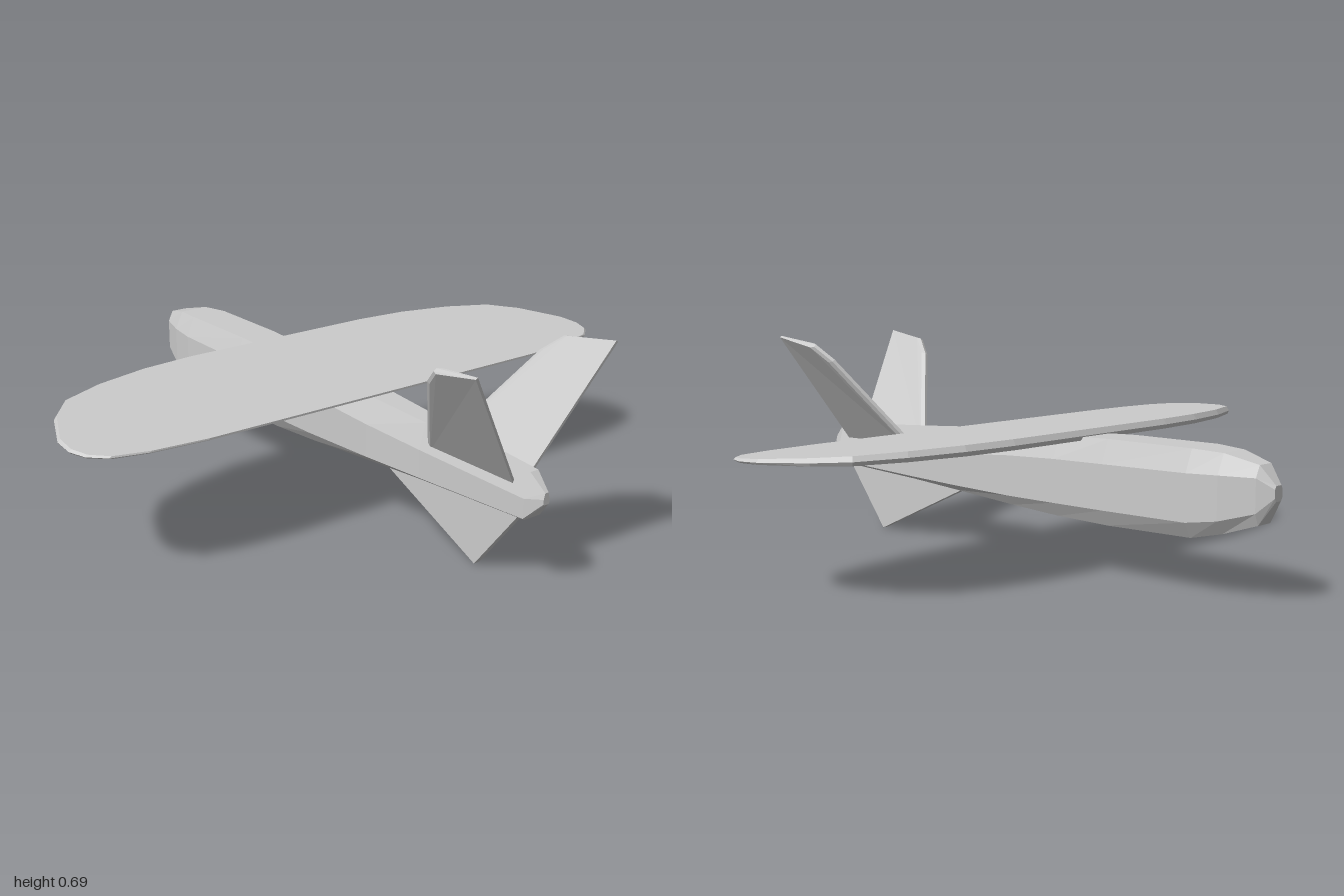
import * as THREE from 'three';

const CX = -0.007; // centre line of the body
const material = new THREE.MeshStandardMaterial({ color: 0xcccccc, flatShading: true });

// Skins a list of rings (equal numbers of points) and closes both ends.
function loft(name, rings) {
  const tris = [];
  const n = rings[0].length;
  for (let r = 0; r < rings.length - 1; r++) {
    for (let i = 0; i < n; i++) {
      const j = (i + 1) % n;
      const [a, b, c, d] = [rings[r][i], rings[r][j], rings[r + 1][j], rings[r + 1][i]];
      tris.push([a, b, c], [a, c, d]);
    }
  }
  const first = rings[0], last = rings[rings.length - 1];
  for (let i = 1; i < n - 1; i++) {
    tris.push([first[0], first[i + 1], first[i]], [last[0], last[i], last[i + 1]]);
  }
  // Turn all faces outward, whatever the direction of the rings.
  const volume = tris.reduce((s, [a, b, c]) => s + a.dot(b.clone().cross(c)), 0);
  const points = tris.flatMap(t => (volume < 0 ? [t[0], t[2], t[1]] : t));
  const geometry = new THREE.BufferGeometry().setFromPoints(points);
  geometry.computeVertexNormals();
  const mesh = new THREE.Mesh(geometry, material);
  mesh.name = name;
  return mesh;
}

// Body: elongated octagon that narrows to the tail.
// z, top y, top half width, shoulder y, half width, lower side y, bottom y, bottom half width
const bodySections = [
  [-0.96, 0.345, 0.012, 0.335, 0.018, 0.31, 0.30, 0.012],
  [-0.915, 0.40, 0.028, 0.365, 0.045, 0.265, 0.23, 0.03],
  [-0.81, 0.425, 0.05, 0.365, 0.078, 0.235, 0.195, 0.05],
  [-0.71, 0.43, 0.064, 0.362, 0.092, 0.22, 0.172, 0.063],
  [-0.4, 0.428, 0.064, 0.355, 0.092, 0.215, 0.166, 0.066],
  [-0.2, 0.42, 0.06, 0.35, 0.09, 0.213, 0.169, 0.064],
  [0.0, 0.41, 0.052, 0.34, 0.082, 0.21, 0.178, 0.06],
  [0.27, 0.397, 0.04, 0.318, 0.07, 0.212, 0.193, 0.05],
  [0.5, 0.382, 0.031, 0.303, 0.056, 0.215, 0.205, 0.042],
  [0.91, 0.358, 0.015, 0.285, 0.037, 0.225, 0.22, 0.03],
  [0.96, 0.31, 0.006, 0.292, 0.011, 0.278, 0.275, 0.008],
];
function bodyRing([z, topY, topW, shoulderY, w, lowY, botY, botW]) {
  const half = [[topW, topY], [w, shoulderY], [w, lowY], [botW, botY]];
  const mirrored = half.map(([x, y]) => [-x, y]).reverse();
  return [...half, ...mirrored].map(([x, y]) => new THREE.Vector3(CX + x, y, z));
}

// Wing: half outline as x, z from the leading edge round the tip to the trailing edge.
const wingHalf = [
  [0.35, -0.3], [0.53, -0.285], [0.71, -0.245], [0.855, -0.185], [0.93, -0.095],
  [0.995, 0.055], [1, 0.13], [0.98, 0.185], [0.93, 0.228], [0.82, 0.255], [0.64, 0.27],
];
function buildWing() {
  const outline = [...wingHalf, ...wingHalf.map(([x, z]) => [-x, z]).reverse()];
  const ring = (scale, baseY, rise) => outline.map(([x, z]) => {
    const f = (0.27 - z) / 0.57; // 0 at the trailing edge, 1 at the leading edge
    const zz = z < 0.1 ? 0.1 + (z - 0.1) * scale : z;
    return new THREE.Vector3(x * (1 + (scale - 1) * 0.3), baseY + rise * f, zz);
  });
  return loft('wing', [ring(0.985, 0.399, 0.014), ring(1, 0.401, 0.026), ring(0.975, 0.405, 0.04)]);
}

// V-tail: outline as height, z; each surface leans outward from the body.
const tailOutline = [[0.31, 0.51], [0.335, 0.525], [0.61, 0.71], [0.66, 0.77], [0.685, 0.945], [0.335, 0.865], [0.31, 0.86]];
function buildTail(side) {
  const lean = new THREE.Vector3(side * 0.845, -0.535, 0); // normal of the surface
  const ring = (offset, inset) => tailOutline.map(([y, z], i) => {
    const thin = i > 3 ? 0.35 : 1; // thin trailing edge
    const front = i < 4 ? inset : 0;
    return new THREE.Vector3(CX + side * (0.04 + (y - 0.335) * 0.633), y, z + front)
      .addScaledVector(lean, offset * thin);
  });
  return loft(side > 0 ? 'leftTailSurface' : 'rightTailSurface',
    [ring(-0.012, 0.015), ring(-0.006, 0), ring(0.006, 0), ring(0.012, 0.015)]);
}

// Fin below the tail: flat triangular plate, its upper edge sunk into the body.
function buildLowerFin() {
  const outline = [[0.19, 0.28], [0, 0.7], [0.22, 0.875], [0.25, 0.875], [0.25, 0.28]];
  const ring = x => outline.map(([y, z]) => new THREE.Vector3(CX + x, y, z));
  return loft('lowerFin', [ring(-0.011), ring(0.011)]);
}

export function createModel() {
  const group = new THREE.Group();
  group.name = 'gliderAircraft';
  group.add(loft('fuselage', bodySections.map(bodyRing)), buildWing(), buildLowerFin());
  for (const side of [1, -1]) group.add(buildTail(side));
  return group;
}
